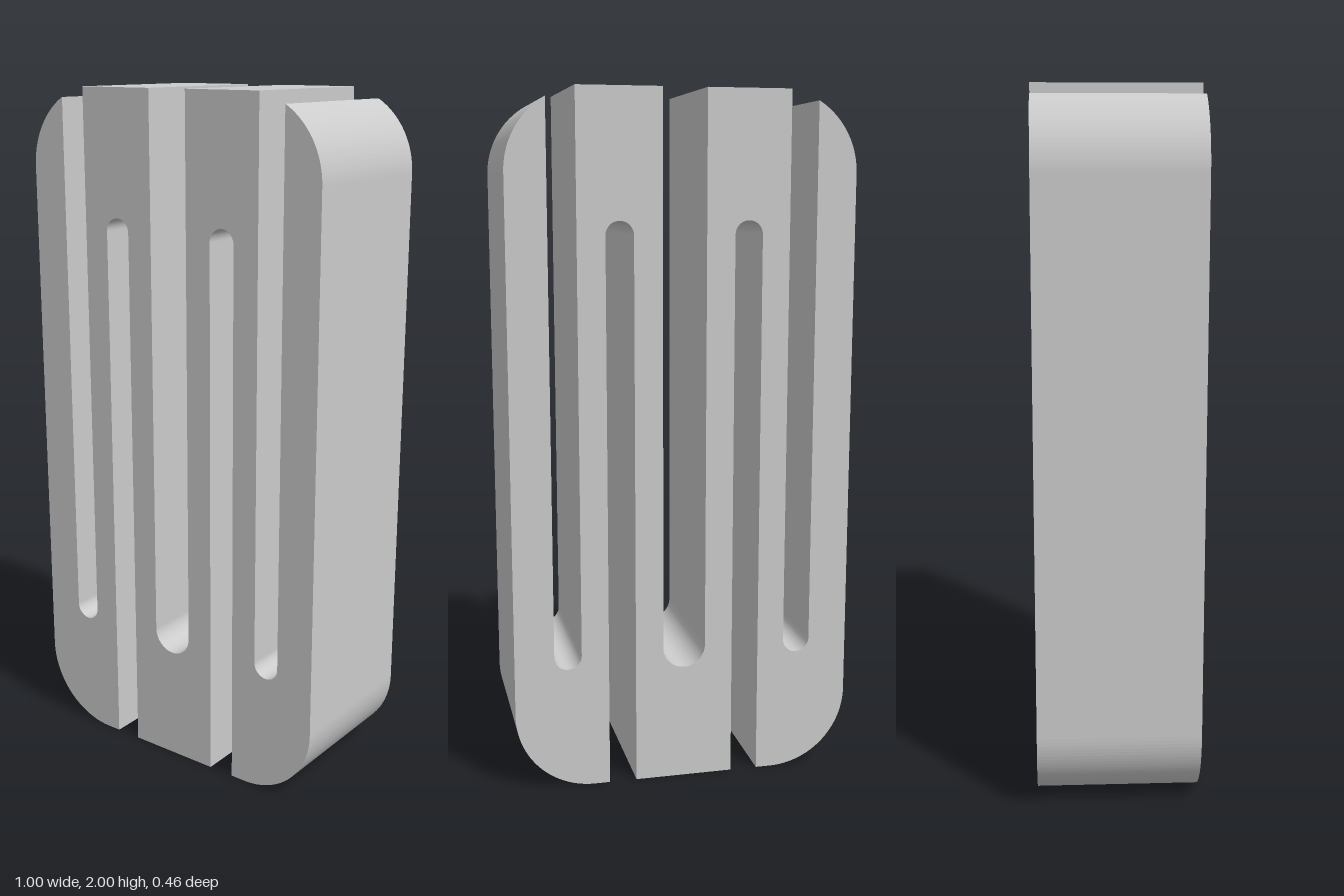
import * as THREE from 'three';

const HEIGHT = 2, DEPTH = 0.46, HALF_WIDTH = 0.5, CORNER = 0.23;

export function createModel() {
  const group = new THREE.Group();
  group.name = 'slottedBlock';

  const s = new THREE.Shape();
  const cx = HALF_WIDTH - CORNER;

  // Round-ended slots cut down from the top edge or up from the bottom edge
  const topSlot = (x, r, end, rimY = HEIGHT) => {
    s.lineTo(x + r, end + r);
    s.absarc(x, end + r, r, 0, -Math.PI, true);
    s.lineTo(x - r, rimY);
  };
  const bottomSlot = (x, r, end) => {
    s.lineTo(x - r, 0);
    s.lineTo(x - r, end - r);
    s.absarc(x, end - r, r, Math.PI, 0, true);
    s.lineTo(x + r, 0);
  };

  // Right side: full lower corner, upper corner stopped by the outer slot
  const stop = Math.PI / 3;
  const rimY = HEIGHT - CORNER + CORNER * Math.sin(stop);
  s.moveTo(cx, 0);
  s.absarc(cx, CORNER, CORNER, -Math.PI / 2, 0, false);
  s.absarc(cx, HEIGHT - CORNER, CORNER, 0, stop, false);

  // Top edge, right to left
  topSlot(0.345, 0.04, 0.36);
  s.lineTo(0.063, HEIGHT);
  topSlot(0, 0.063, 0.34);
  s.lineTo(-0.305, HEIGHT);
  topSlot(-0.345, 0.04, 0.36, rimY);

  // Left side
  s.absarc(-cx, HEIGHT - CORNER, CORNER, Math.PI - stop, Math.PI, false);
  s.absarc(-cx, CORNER, CORNER, Math.PI, Math.PI * 1.5, false);

  // Bottom edge, left to right
  bottomSlot(-0.185, 0.04, 1.64);
  bottomSlot(0.185, 0.04, 1.64);
  s.closePath();

  const geometry = new THREE.ExtrudeGeometry(s, { depth: DEPTH, bevelEnabled: false, curveSegments: 16 });
  geometry.translate(0, 0, -DEPTH / 2);

  const body = new THREE.Mesh(geometry, new THREE.MeshStandardMaterial({ color: 0xcccccc }));
  body.name = 'serpentineBody';
  group.add(body);
  return group;
}
